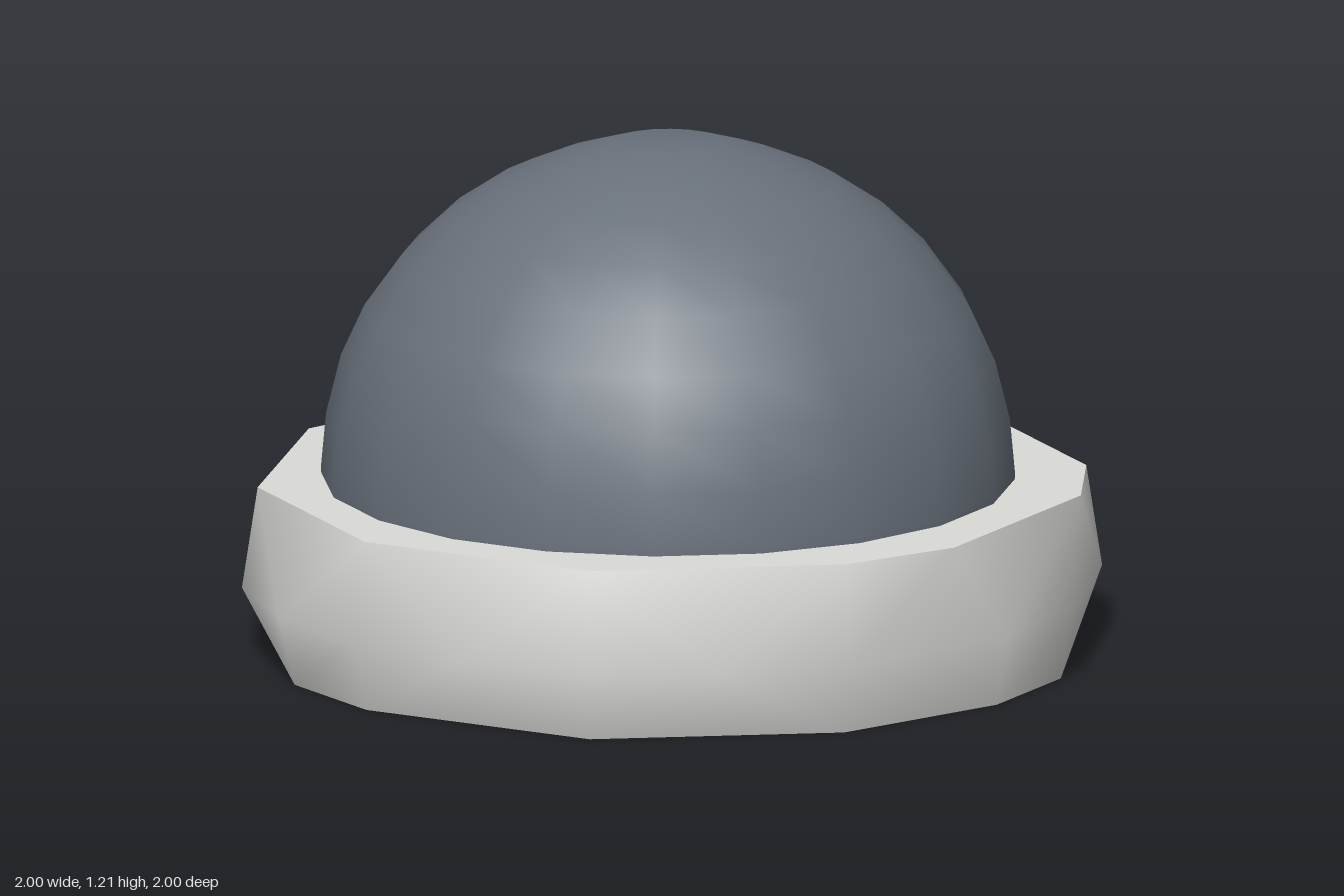
import * as THREE from 'three';
import { toCreasedNormals } from 'three/addons/utils/BufferGeometryUtils.js';
import { ConvexGeometry } from 'three/addons/geometries/ConvexGeometry.js';

// Points on a horizontal circle at the given angles (degrees from +x towards +z)
function ringPoints(radius, y, angles) {
  return angles.map((deg) => {
    const a = THREE.MathUtils.degToRad(deg);
    return new THREE.Vector3(radius * Math.cos(a), y, radius * Math.sin(a));
  });
}

export function createModel() {
  const model = new THREE.Group();
  model.name = 'domedButton';

  const paleGrey = new THREE.MeshStandardMaterial({ color: 0xdadad7 });
  paleGrey.name = 'paleGrey';
  const slate = new THREE.MeshStandardMaterial({ color: 0x68707a });
  slate.name = 'slate';

  // Base: faceted puck, widest a little below mid-height, with an uneven rim
  const topAngles = [-63, -27, -9, 27, 45, 81, 117, 153, 189, 225, 261];
  const bottomAngles = [-45, -63, -99, -135, -153, -189, -225, -243, -279, -315, 0, 18];
  const middleAngles = Array.from({ length: 17 }, (_, i) => 45 + 18 * i);
  const basePoints = [
    ...ringPoints(0.975, 0.405, topAngles),
    ...ringPoints(1.012, 0.165, middleAngles),
    ...ringPoints(1.0, 0.165, [0, 18]),
    ...ringPoints(0.97, 0, bottomAngles),
  ];
  const base = new THREE.Mesh(toCreasedNormals(new ConvexGeometry(basePoints), 1.0), paleGrey);
  base.name = 'base';
  model.add(base);

  // Dome: twenty-sided, smooth, with a small flat crown
  const profile = [
    [0.81, 0.38], [0.812, 0.42], [0.8, 0.55], [0.765, 0.69], [0.71, 0.81], [0.62, 0.935],
    [0.52, 1.03], [0.4, 1.11], [0.27, 1.165], [0.135, 1.207], [0, 1.21],
  ].map(([r, y]) => new THREE.Vector2(r, y));
  const dome = new THREE.Mesh(new THREE.LatheGeometry(profile, 20), slate);
  dome.name = 'dome';
  dome.position.x = -0.01;
  model.add(dome);

  return model;
}
